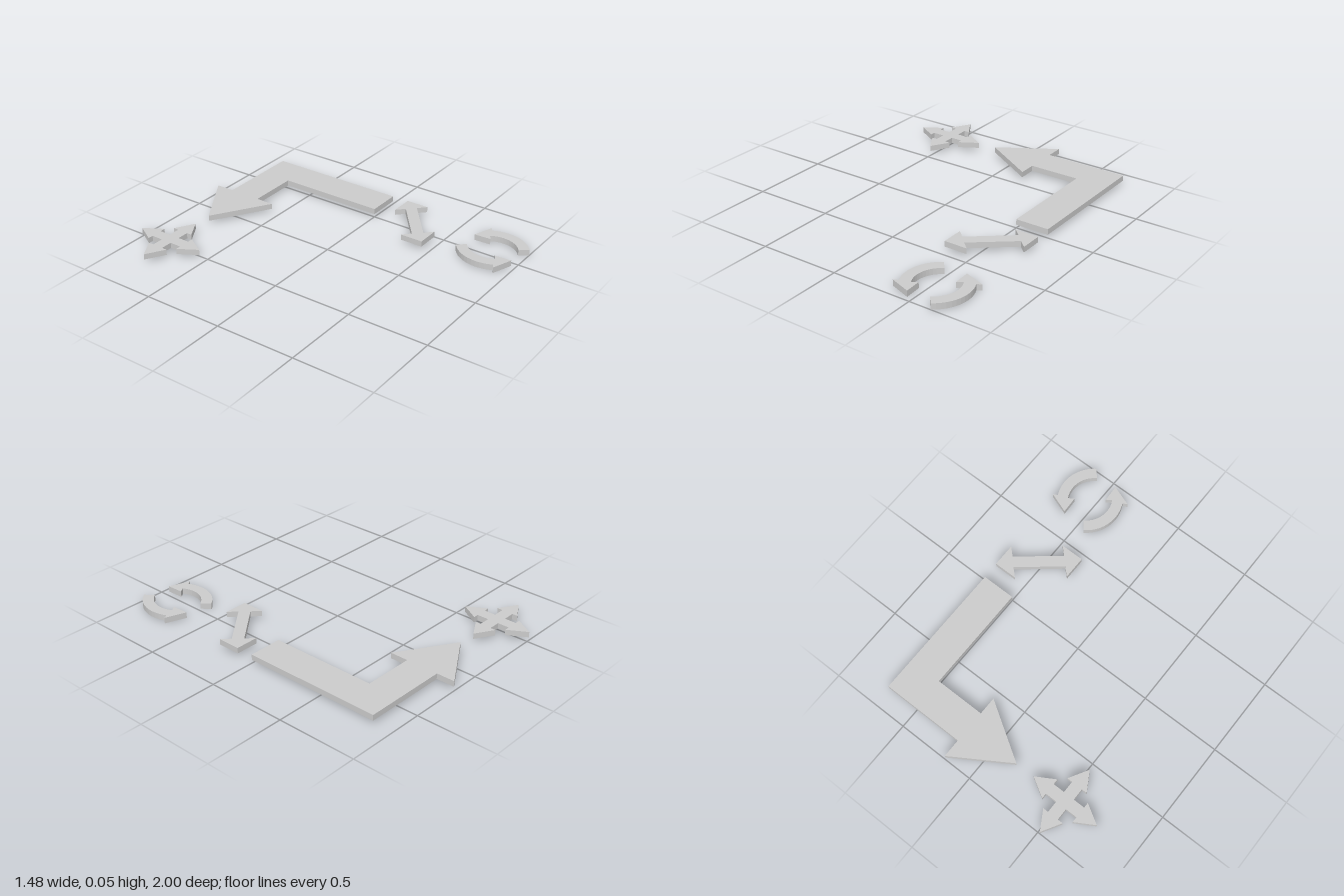
import * as THREE from 'three';

const material = new THREE.MeshStandardMaterial({ color: 0xcccccc, side: THREE.DoubleSide });

// Flat shell, open underneath, from an outline of [x, z] points; its rim is at y = bottom
function plate(name, points, bottom, thickness, x = 0, z = 0) {
  const shape = new THREE.Shape(points.map(([px, pz]) => new THREE.Vector2(px, pz)));
  const geometry = new THREE.ExtrudeGeometry(shape, { depth: thickness, bevelEnabled: false });
  geometry.rotateX(Math.PI / 2).translate(0, thickness, 0);

  // Keep the top lid and the walls, leave out the lower lid
  const lids = geometry.groups[0].count;
  const kept = [];
  for (let i = 0; i < geometry.attributes.position.count; i++) {
    if (i < lids / 2 || i >= lids) kept.push(i);
  }
  geometry.setIndex(kept);
  geometry.clearGroups();

  const mesh = new THREE.Mesh(geometry, material);
  mesh.name = name;
  mesh.position.set(x, bottom, z);
  return mesh;
}

// Points along an arc, angles in degrees
function arc(cx, cz, r, from, to, steps = 12) {
  const points = [];
  for (let i = 0; i <= steps; i++) {
    const a = THREE.MathUtils.degToRad(from + (to - from) * i / steps);
    points.push([cx + r * Math.cos(a), cz + r * Math.sin(a)]);
  }
  return points;
}

export function createModel() {
  const model = new THREE.Group();
  model.name = 'arrowSet';

  // Large arrow with a right-angle bend
  model.add(plate('bentArrow', [
    [0.499, 0], [0.709, 0], [0.709, -0.878], [0.182, -0.878], [0.182, -0.994],
    [-0.166, -0.776], [0.182, -0.559], [0.182, -0.673], [0.499, -0.673],
  ], 0.02, 0.035));

  // Four-way arrow: one arm turned through four quarters
  const arm = [[0.035, -0.035], [0.109, -0.035], [0.109, -0.069], [0.226, 0], [0.109, 0.069], [0.109, 0.035]];
  const cross = [];
  for (let i = 0; i < 4; i++) {
    const c = [1, 0, -1, 0][i], s = [0, 1, 0, -1][i];
    for (const [x, z] of arm) cross.push([x * c - z * s, x * s + z * c]);
  }
  model.add(plate('fourWayArrow', cross, 0.02, 0.035, -0.516, -0.774));

  // Diagonal two-headed arrow: half outline repeated at a half turn
  const half = [[0.097, -0.124], [0.047, -0.171], [0.194, -0.171], [0.194, -0.027], [0.145, -0.073]];
  const diagonal = [...half, ...half.map(([x, z]) => [-x, -z])];
  model.add(plate('diagonalArrow', diagonal, 0.02, 0.035, 0.518, 0.279));

  // Pair of curved arrows chasing each other around a centre
  const curved = [
    ...arc(0.03, -0.002, 0.229, 236, 153.5),
    [-0.203, 0.115], [-0.073, 0.162], [-0.078, 0.057],
    ...arc(0.03, -0.002, 0.163, 150.4, 238),
  ];
  const rotation = new THREE.Group();
  rotation.name = 'rotationArrows';
  for (let i = 0; i < 2; i++) {
    const arrow = plate(i ? 'curvedArrowLeft' : 'curvedArrowRight', curved, 0, 0.037);
    arrow.rotation.y = i * Math.PI;
    rotation.add(arrow);
  }
  rotation.position.set(0.538, 0, 0.808);
  model.add(rotation);

  return model;
}
